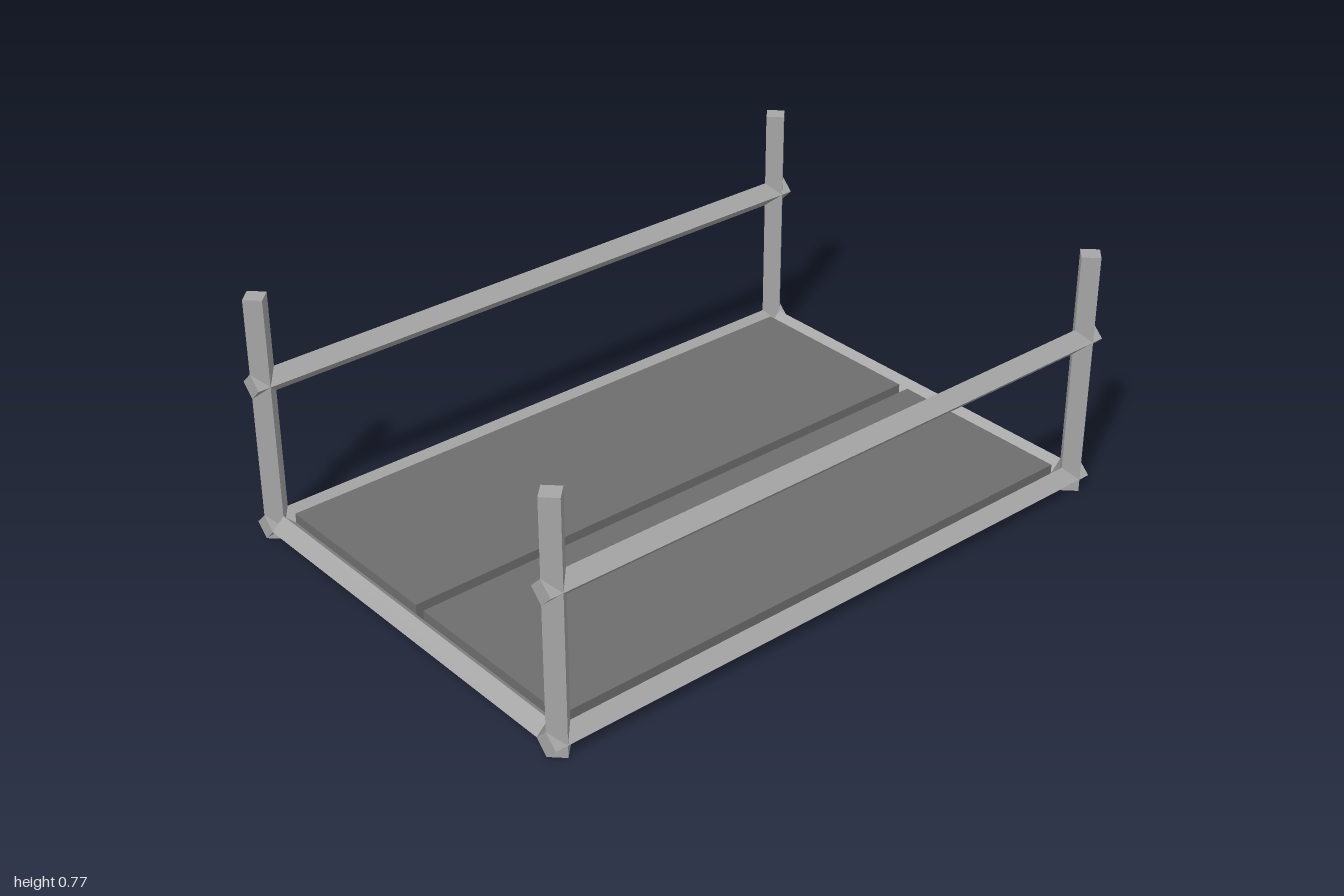
import * as THREE from 'three';

export function createModel() {
  const model = new THREE.Group();
  const frameGrey = new THREE.MeshStandardMaterial({ color: 0xa6a6a6, flatShading: true });
  frameGrey.name = 'frameGrey';
  const panelGrey = new THREE.MeshStandardMaterial({ color: 0x6e6e6e, flatShading: true });
  panelGrey.name = 'panelGrey';

  const R = 0.039;         // half the diagonal of a diamond-section bar
  const X = 1 - R;         // post centre lines
  const Z = 0.693 - R;
  const H = 0.77;          // post height

  // Diamond-section bar lying along one axis, centred on (x, y, z)
  function bar(name, axis, length, x, y, z) {
    const geometry = new THREE.CylinderGeometry(R, R, length, 4);
    if (axis === 'x') geometry.rotateZ(Math.PI / 2);
    if (axis === 'z') geometry.rotateX(Math.PI / 2);
    const mesh = new THREE.Mesh(geometry, frameGrey);
    mesh.name = name;
    mesh.position.set(x, y, z);
    model.add(mesh);
  }

  for (const s of [-1, 1]) {
    const end = s > 0 ? 'front' : 'back';
    const side = s > 0 ? 'left' : 'right';

    // Corner posts
    bar(end + 'LeftPost', 'y', H, X, H / 2, s * Z);
    bar(end + 'RightPost', 'y', H, -X, H / 2, s * Z);

    // Long rails: one at the base, one as a guard rail
    bar(end + 'BaseRail', 'x', 2, 0, R, s * Z);
    bar(end + 'GuardRail', 'x', 2, 0, 0.5, s * Z);

    // Short base rail, ending at the inner edges of the long rails
    bar(side + 'BaseRail', 'z', 2 * (Z - R), s * X, R, 0);

    // Thick floor panel centred on the base rails, with a narrow gap along the middle
    const inner = 0.0175, outer = Z - R;
    const panel = new THREE.Mesh(
      new THREE.BoxGeometry(2 * (X - R), 0.062, outer - inner), panelGrey);
    panel.name = end + 'FloorPanel';
    panel.position.set(0, R, s * (inner + outer) / 2);
    model.add(panel);
  }

  return model;
}
